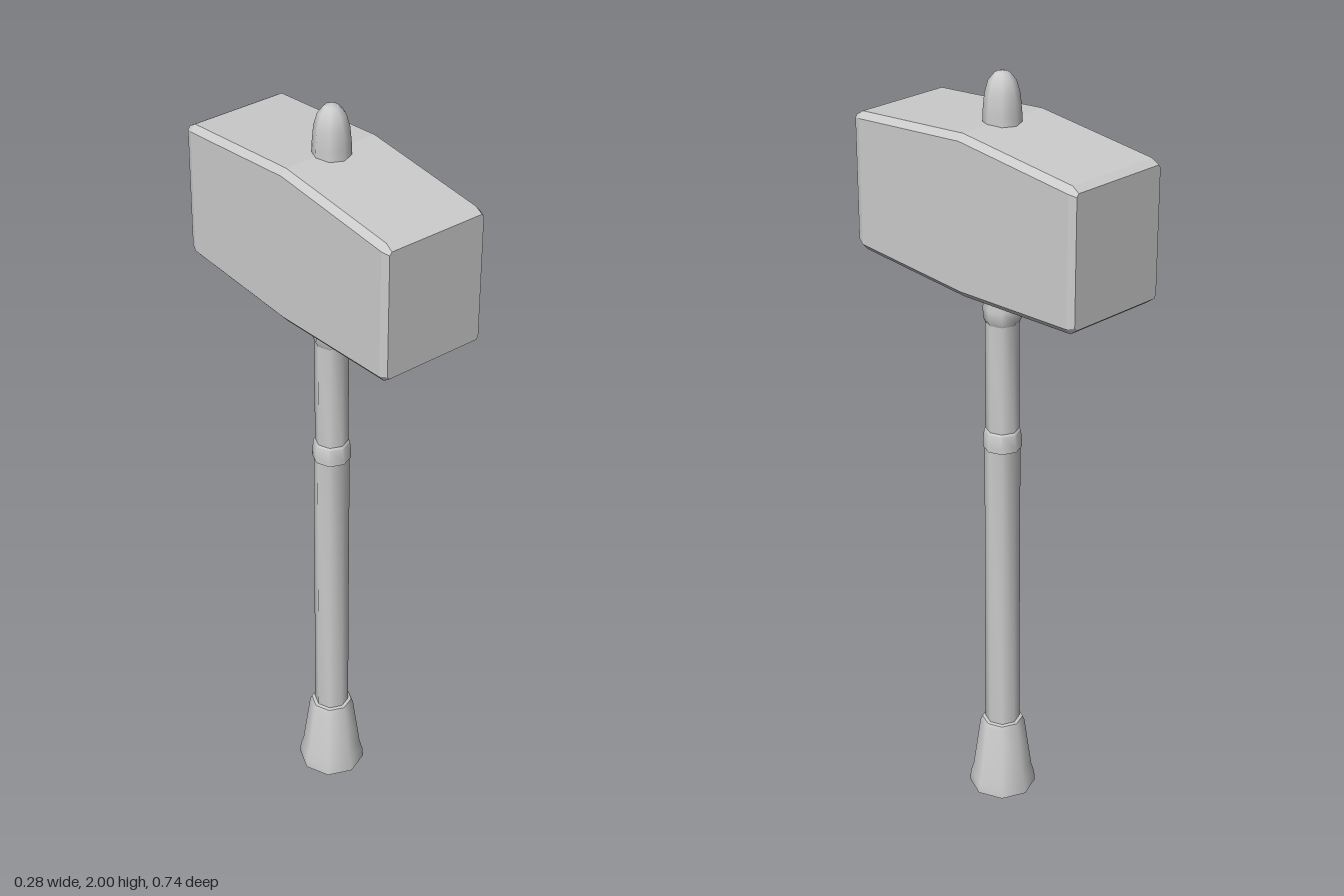
import * as THREE from 'three';
import { toCreasedNormals } from 'three/addons/utils/BufferGeometryUtils.js';

const SIDES = 8;

// Hammer head: chamfered octagonal sections lofted from back to front
function headGeometry() {
  // z, half width, bottom, top, chamfer width, chamfer height
  const end = [0.37, 0.135, 1.508, 1.836, 0.006, 0.008];
  const rim = [0.35, 0.142, 1.493, 1.848, 0.014, 0.016];
  const middle = [0, 0.142, 1.476, 1.88, 0.014, 0.016];
  const back = (s) => [-s[0], ...s.slice(1)];
  const sections = [back(end), back(rim), middle, rim, end];

  const positions = [];
  const index = [];
  for (const [z, w, lo, hi, cw, ch] of sections) {
    const ring = [
      [w - cw, lo], [w, lo + ch], [w, hi - ch], [w - cw, hi],
      [cw - w, hi], [-w, hi - ch], [-w, lo + ch], [cw - w, lo],
    ];
    for (const [x, y] of ring) positions.push(x, y, z);
  }
  for (let i = 0; i < sections.length - 1; i++) {
    for (let j = 0; j < 8; j++) {
      const a = i * 8 + j, b = i * 8 + (j + 1) % 8;
      index.push(a, b, b + 8, a, b + 8, a + 8);
    }
  }
  // striking faces
  const last = (sections.length - 1) * 8;
  for (let j = 1; j < 7; j++) {
    index.push(0, j + 1, j);
    index.push(last, last + j, last + j + 1);
  }
  const geometry = new THREE.BufferGeometry();
  geometry.setAttribute('position', new THREE.Float32BufferAttribute(positions, 3));
  geometry.setIndex(index);
  const flat = geometry.toNonIndexed();
  flat.computeVertexNormals();
  return flat;
}

export function createModel() {
  const model = new THREE.Group();
  model.name = 'hammer';
  const material = new THREE.MeshStandardMaterial({ color: 0xcccccc });

  const add = (name, geometry) => {
    const mesh = new THREE.Mesh(geometry, material);
    mesh.name = name;
    model.add(mesh);
    return mesh;
  };
  // Turned part from [radius, height] pairs, bottom to top
  const turned = (name, profile) => {
    const points = profile.map(([r, y]) => new THREE.Vector2(r, y));
    const mesh = add(name, toCreasedNormals(new THREE.LatheGeometry(points, SIDES), 0.9));
    mesh.position.z = 0.003;
  };

  add('head', headGeometry());

  // Flared foot of the handle
  turned('pommel', [
    [0, 0], [0.088, 0], [0.086, 0.028], [0.078, 0.055],
    [0.059, 0.198], [0.054, 0.21], [0.044, 0.212],
  ]);

  // Grip, thinner neck and the two collars
  turned('grip', [[0.045, 0.2], [0.045, 1.03]]);
  turned('lowerCollar', [[0.042, 1.028], [0.049, 1.028], [0.049, 1.04], [0.046, 1.075], [0.042, 1.08]]);
  turned('neck', [[0.042, 1.07], [0.042, 1.39]]);
  turned('upperCollar', [[0.042, 1.37], [0.047, 1.38], [0.048, 1.41], [0.044, 1.43], [0.044, 1.5]]);

  // Rounded tip above the head
  turned('tip', [
    [0.047, 1.86], [0.046, 1.9], [0.042, 1.945],
    [0.033, 1.977], [0.018, 1.995], [0, 2],
  ]);

  return model;
}
